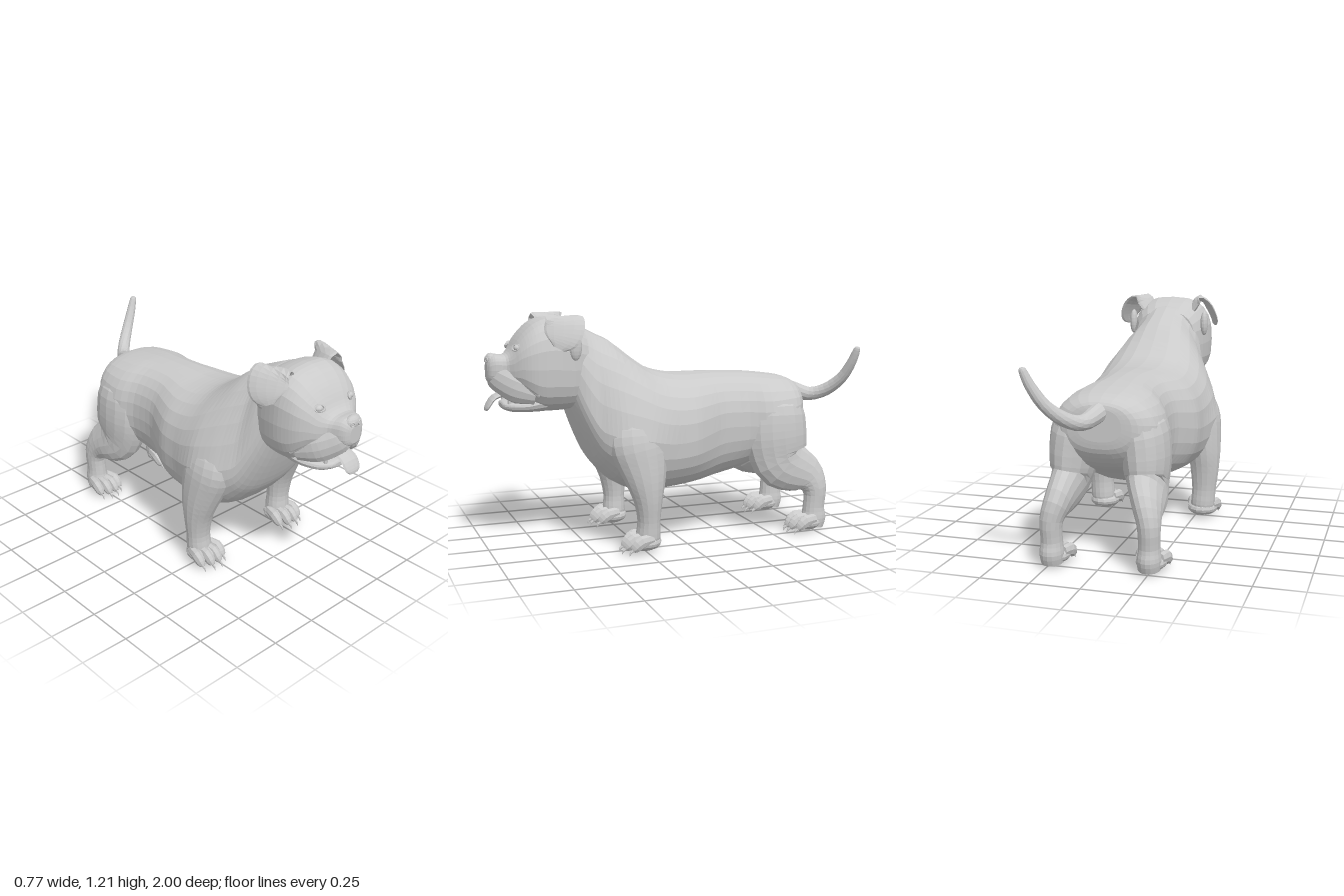
import * as THREE from 'three';

const coat = new THREE.MeshStandardMaterial({ color: 0xcacaca, flatShading: true });
coat.name = 'grey coat';

// Catmull-Rom interpolation of rows of numbers
function smooth(rows, n) {
  const out = [];
  const at = i => rows[Math.max(0, Math.min(rows.length - 1, i))];
  for (let i = 0; i < rows.length - 1; i++) {
    for (let k = 0; k < n; k++) {
      const t = k / n;
      out.push(rows[i].map((b, j) => {
        const a = at(i - 1)[j], c = at(i + 1)[j], d = at(i + 2)[j];
        return b + 0.5 * t * (c - a + t * (2 * a - 5 * b + 4 * c - d + t * (3 * (b - c) + d - a)));
      }));
    }
  }
  out.push(rows[rows.length - 1]);
  return out;
}

// Skin over rings of points, closed with a fan at both ends
function skin(name, rings) {
  const n = rings[0].length, pos = [], idx = [];
  rings.forEach(r => r.forEach(p => pos.push(p.x, p.y, p.z)));
  for (let i = 0; i < rings.length - 1; i++) {
    for (let j = 0; j < n; j++) {
      const a = i * n + j, b = i * n + (j + 1) % n;
      idx.push(a, b, a + n, b, b + n, a + n);
    }
  }
  [0, rings.length - 1].forEach((r, end) => {
    const mid = new THREE.Vector3();
    rings[r].forEach(p => mid.addScaledVector(p, 1 / n));
    const m = pos.length / 3;
    pos.push(mid.x, mid.y, mid.z);
    for (let j = 0; j < n; j++) {
      const a = r * n + j, b = r * n + (j + 1) % n;
      idx.push(m, end ? a : b, end ? b : a);
    }
  });
  const g = new THREE.BufferGeometry();
  g.setAttribute('position', new THREE.Float32BufferAttribute(pos, 3));
  g.setIndex(idx);
  g.computeVertexNormals();
  const mesh = new THREE.Mesh(g, coat);
  mesh.name = name;
  return mesh;
}

// Trunk-like form along z; rows: z, top, bottom, half width, widest height, pinch at top
function trunk(name, rows, sides, power) {
  const pw = v => Math.sign(v) * Math.abs(v) ** power;
  return skin(name, smooth(rows, 3).map(([z, top, bot, w, yc, pinch]) =>
    Array.from({ length: sides }, (_, j) => {
      const a = j / sides * Math.PI * 2, s = pw(Math.sin(a));
      const x = w * pw(Math.cos(a)) * (1 - pinch * Math.max(0, s));
      return new THREE.Vector3(x, yc + s * (s > 0 ? top - yc : yc - bot), z);
    })));
}

// Limb along a path; rows: x, y, z, radius along ref, radius across
function limb(name, rows, ref, sides = 14, steps = 3) {
  const r = smooth(rows, steps), at = i => new THREE.Vector3(...r[i].slice(0, 3));
  return skin(name, r.map((row, i) => {
    const t = at(Math.min(i + 1, r.length - 1)).sub(at(Math.max(i - 1, 0))).normalize();
    const A = ref.clone().addScaledVector(t, -ref.dot(t)).normalize();
    const B = t.clone().cross(A);
    return Array.from({ length: sides }, (_, j) => {
      const a = j / sides * Math.PI * 2;
      return at(i).addScaledVector(A, Math.cos(a) * row[3]).addScaledVector(B, Math.sin(a) * row[4]);
    });
  }));
}

function ball(name, x, y, z, rx, ry, rz) {
  const m = new THREE.Mesh(new THREE.SphereGeometry(1, 14, 10), coat);
  m.position.set(x, y, z);
  m.scale.set(rx, ry, rz);
  m.name = name;
  return m;
}

const X = new THREE.Vector3(1, 0, 0), Y = new THREE.Vector3(0, 1, 0), Z = new THREE.Vector3(0, 0, 1);

// Paw with four toes and claws, pointing to +z
function paw(name, x, z, width) {
  const g = new THREE.Group();
  g.name = name;
  g.add(ball('pad', 0, 0.068, 0, 0.078 * width, 0.045, 0.09));
  [-0.066, -0.023, 0.023, 0.066].forEach(off => {
    const dx = off * width, f = Math.abs(off) > 0.05 ? -0.025 : 0;
    g.add(limb('toe', [
      [dx * 0.75, 0.09, 0.0 + f, 0.024, 0.028], [dx, 0.085, 0.06 + f, 0.025, 0.033],
      [dx, 0.06, 0.092 + f, 0.023, 0.028], [dx, 0.045, 0.108 + f, 0.013, 0.015]], X, 8, 2));
    g.add(limb('claw', [
      [dx, 0.05, 0.1 + f, 0.006, 0.009], [dx, 0.037, 0.12 + f, 0.005, 0.007],
      [dx, 0.018, 0.128 + f, 0.001, 0.001]], X, 6, 2));
  });
  g.position.set(x, 0, z);
  return g;
}

export function createModel() {
  const dog = new THREE.Group();
  dog.name = 'dog';

  // Barrel, chest and neck
  dog.add(trunk('body', [
    [-0.715, 0.8, 0.64, 0.11, 0.71, 0], [-0.7, 0.83, 0.58, 0.19, 0.69, 0],
    [-0.63, 0.862, 0.5, 0.262, 0.66, 0], [-0.48, 0.885, 0.43, 0.285, 0.62, 0],
    [-0.36, 0.895, 0.365, 0.245, 0.62, 0], [-0.22, 0.9, 0.33, 0.245, 0.62, 0],
    [-0.12, 0.9, 0.31, 0.285, 0.6, 0], [-0.03, 0.9, 0.3, 0.322, 0.58, 0],
    [0.07, 0.912, 0.29, 0.332, 0.57, 0], [0.16, 0.94, 0.285, 0.352, 0.58, 0.08],
    [0.25, 1.0, 0.295, 0.368, 0.6, 0.2], [0.35, 1.08, 0.34, 0.348, 0.61, 0.28],
    [0.42, 1.115, 0.41, 0.305, 0.63, 0.25], [0.47, 1.14, 0.48, 0.265, 0.66, 0.2],
    [0.53, 1.165, 0.61, 0.22, 0.78, 0.05], [0.58, 1.17, 0.74, 0.18, 0.92, 0]], 28, 0.85));

  // Skull and muzzle
  dog.add(trunk('head', [
    [0.5, 1.14, 0.76, 0.175, 0.95, 0], [0.58, 1.185, 0.74, 0.208, 0.95, 0],
    [0.68, 1.21, 0.735, 0.228, 0.96, 0], [0.75, 1.19, 0.745, 0.222, 0.96, 0],
    [0.8, 1.15, 0.8, 0.205, 0.96, 0], [0.84, 1.1, 0.85, 0.175, 0.96, 0],
    [0.87, 1.05, 0.875, 0.14, 0.95, 0], [0.9, 1.025, 0.885, 0.1, 0.95, 0],
    [0.95, 1.028, 0.885, 0.078, 0.95, 0], [0.975, 1.01, 0.885, 0.06, 0.95, 0],
    [0.986, 0.985, 0.9, 0.035, 0.95, 0]], 24, 0.72));
  dog.add(trunk('lowerJaw', [
    [0.62, 0.83, 0.745, 0.12, 0.79, 0], [0.72, 0.83, 0.735, 0.165, 0.79, 0],
    [0.8, 0.805, 0.735, 0.155, 0.775, 0], [0.87, 0.795, 0.737, 0.125, 0.77, 0],
    [0.91, 0.79, 0.75, 0.08, 0.77, 0], [0.92, 0.78, 0.76, 0.05, 0.77, 0]], 20, 0.8));
  dog.add(limb('tongue', [
    [0, 0.8, 0.76, 0.045, 0.012], [0, 0.825, 0.88, 0.05, 0.014], [0, 0.81, 0.95, 0.054, 0.013],
    [0, 0.765, 0.985, 0.05, 0.011], [0, 0.745, 0.994, 0.028, 0.006]], X, 12));
  dog.add(ball('nose', 0, 1.0, 0.962, 0.047, 0.034, 0.028));

  for (const s of [-1, 1]) {
    const side = s > 0 ? 'left' : 'right';

    // Face details
    dog.add(limb(side + 'Jowl', [
      [s * 0.01, 0.945, 0.962, 0.03, 0.02], [s * 0.038, 0.92, 0.94, 0.065, 0.036],
      [s * 0.075, 0.89, 0.9, 0.075, 0.04], [s * 0.115, 0.86, 0.845, 0.076, 0.042],
      [s * 0.155, 0.83, 0.765, 0.05, 0.03]], Y, 12));
    dog.add(limb(side + 'CheekFold', [
      [s * 0.05, 1.0, 0.9, 0.012, 0.012], [s * 0.1, 0.965, 0.868, 0.02, 0.018],
      [s * 0.15, 0.9, 0.825, 0.02, 0.018], [s * 0.185, 0.83, 0.755, 0.014, 0.014]], Y, 8));
    dog.add(ball(side + 'Eye', s * 0.106, 1.063, 0.848, 0.023, 0.016, 0.018));
    const lid = new THREE.Mesh(new THREE.TorusGeometry(0.025, 0.007, 6, 14), coat);
    lid.name = side + 'Eyelid';
    lid.position.set(s * 0.107, 1.064, 0.853);
    lid.rotation.set(-0.5, s * 0.5, s * 0.25);
    lid.scale.y = 0.65;
    dog.add(lid);
    const nostril = new THREE.Mesh(new THREE.TorusGeometry(0.01, 0.004, 6, 10), coat);
    nostril.name = side + 'Nostril';
    nostril.position.set(s * 0.022, 1.0, 0.985);
    nostril.rotation.y = s * 0.4;
    dog.add(nostril);
    dog.add(limb(side + 'Tooth', [
      [s * 0.08, 0.77, 0.885, 0.013, 0.013], [s * 0.083, 0.805, 0.888, 0.01, 0.01],
      [s * 0.085, 0.83, 0.888, 0.002, 0.002]], Z, 6, 2));

    // Ear folded outward, its flap turned partly to the front
    dog.add(limb(side + 'Ear', [
      [s * 0.13, 1.15, 0.63, 0.07, 0.018], [s * 0.172, 1.205, 0.635, 0.085, 0.016],
      [s * 0.213, 1.185, 0.635, 0.1, 0.014], [s * 0.24, 1.135, 0.645, 0.096, 0.013],
      [s * 0.25, 1.095, 0.66, 0.075, 0.011], [s * 0.25, 1.065, 0.675, 0.03, 0.008]],
    new THREE.Vector3(-s * 0.42, 0, 0.9), 12));
    dog.add(ball(side + 'EarBase', s * 0.212, 1.07, 0.58, 0.022, 0.07, 0.032));

    // Front leg
    dog.add(limb(side + 'FrontLeg', [
      [s * 0.23, 0.72, 0.28, 0.07, 0.05], [s * 0.255, 0.66, 0.28, 0.13, 0.085],
      [s * 0.275, 0.58, 0.28, 0.15, 0.098], [s * 0.285, 0.48, 0.262, 0.132, 0.098],
      [s * 0.298, 0.38, 0.247, 0.103, 0.088], [s * 0.302, 0.28, 0.237, 0.073, 0.078],
      [s * 0.3, 0.18, 0.233, 0.058, 0.067], [s * 0.295, 0.1, 0.235, 0.063, 0.068],
      [s * 0.292, 0.045, 0.24, 0.055, 0.06]], Z, 16));
    dog.add(paw(side + 'FrontPaw', s * 0.29, 0.255, 1.08));

    // Hind leg with thigh and hock; the left one stands slightly further back
    const hx = s > 0 ? 0.23 : -0.25, hz = s > 0 ? -0.02 : 0.01;
    dog.add(limb(side + 'HindLeg', [
      [s * 0.13, 0.76, -0.53, 0.09, 0.06], [s * 0.165, 0.69, -0.535, 0.165, 0.115],
      [s * 0.182, 0.58, -0.535, 0.18, 0.12], [s * 0.19, 0.48, -0.545, 0.175, 0.11],
      [s * 0.2, 0.405, -0.575, 0.155, 0.092], [hx * 0.92, 0.33, -0.69 + hz, 0.11, 0.07],
      [hx, 0.25, -0.738 + hz, 0.068, 0.056], [hx, 0.15, -0.735 + hz, 0.06, 0.053],
      [hx, 0.09, -0.735 + hz, 0.07, 0.06], [hx, 0.04, -0.73 + hz, 0.06, 0.055]], Z, 16));
    dog.add(paw(side + 'HindPaw', hx, -0.69 + hz, 0.98));
  }

  // Tail curving up and to the left
  dog.add(limb('tail', [
    [0, 0.79, -0.64, 0.05, 0.05], [0.01, 0.775, -0.72, 0.046, 0.046],
    [0.05, 0.75, -0.81, 0.038, 0.038], [0.11, 0.78, -0.885, 0.035, 0.035],
    [0.18, 0.85, -0.94, 0.03, 0.03], [0.235, 0.94, -0.968, 0.025, 0.025],
    [0.265, 1.01, -0.98, 0.018, 0.018], [0.27, 1.025, -0.982, 0.008, 0.008]], X, 12));

  return dog;
}
